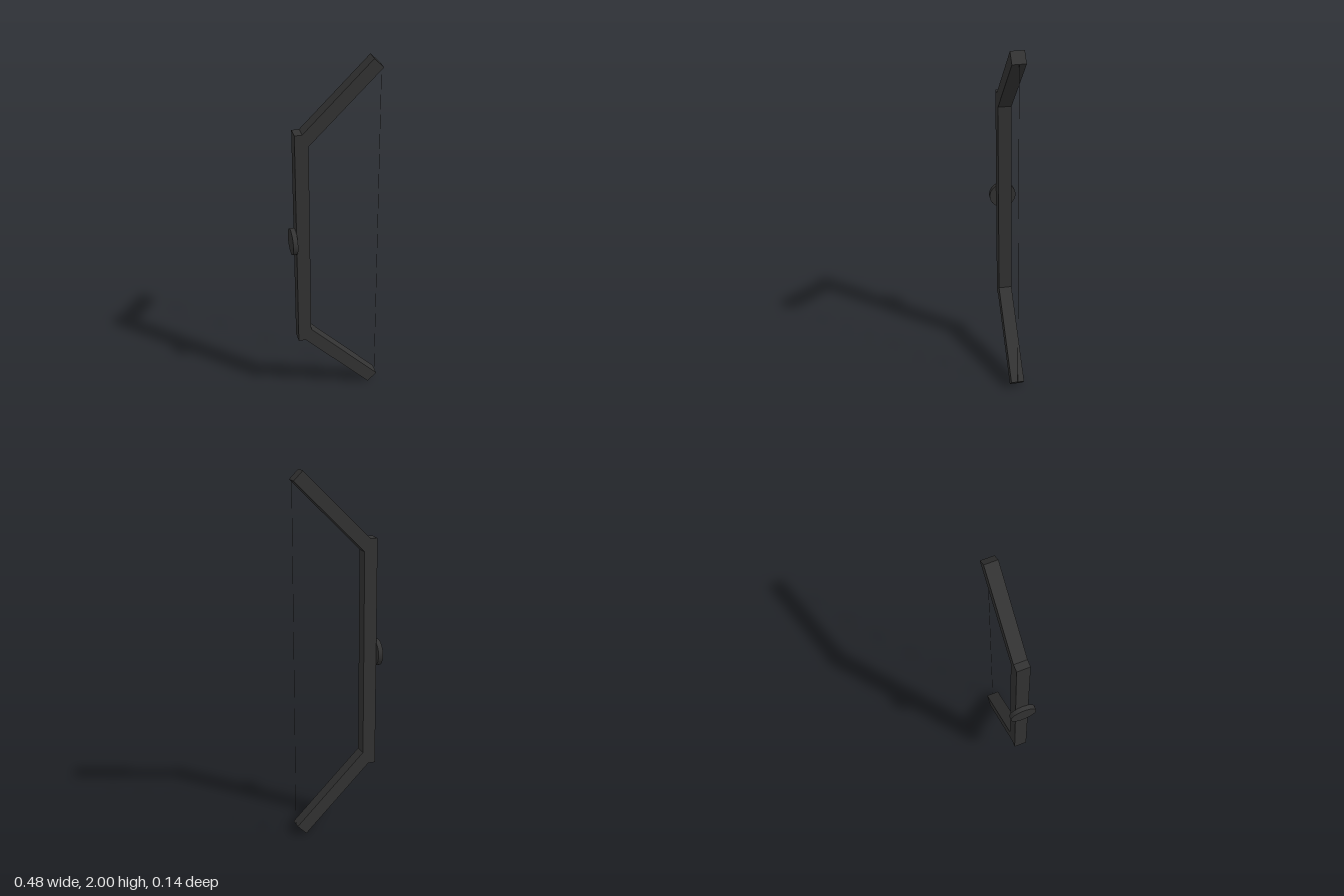
import * as THREE from 'three';

export function createModel() {
  const bow = new THREE.Group();
  bow.name = 'bow';
  const material = new THREE.MeshStandardMaterial({ color: 0x333333 });
  const depth = 0.072;

  function add(name, geometry, x, y, angle = 0) {
    const mesh = new THREE.Mesh(geometry, material);
    mesh.name = name;
    mesh.position.set(x, y, 0);
    mesh.rotation.z = angle;
    bow.add(mesh);
  }

  // Upright centre bar
  add('grip', new THREE.BoxGeometry(0.072, 1.266, depth), -0.181, 1);

  // Limbs slant out at 45 degrees, their inner ends buried in the grip
  const tip = new THREE.Vector2(0.215, 0.975);
  const root = new THREE.Vector2(-0.18, 0.58);
  const limb = new THREE.BoxGeometry(tip.distanceTo(root), 0.071, depth);
  for (const [name, side] of [['upperLimb', 1], ['lowerLimb', -1]]) {
    add(name, limb, (tip.x + root.x) / 2, 1 + side * (tip.y + root.y) / 2, side * Math.PI / 4);
  }

  // Round button on the outer face of the grip
  add('button', new THREE.CylinderGeometry(0.072, 0.072, 0.026, 32), -0.229, 1, Math.PI / 2);

  // Fine string between the limb tips
  add('string', new THREE.CylinderGeometry(0.001, 0.001, 1.9, 8), 0.238, 1);

  return bow;
}
